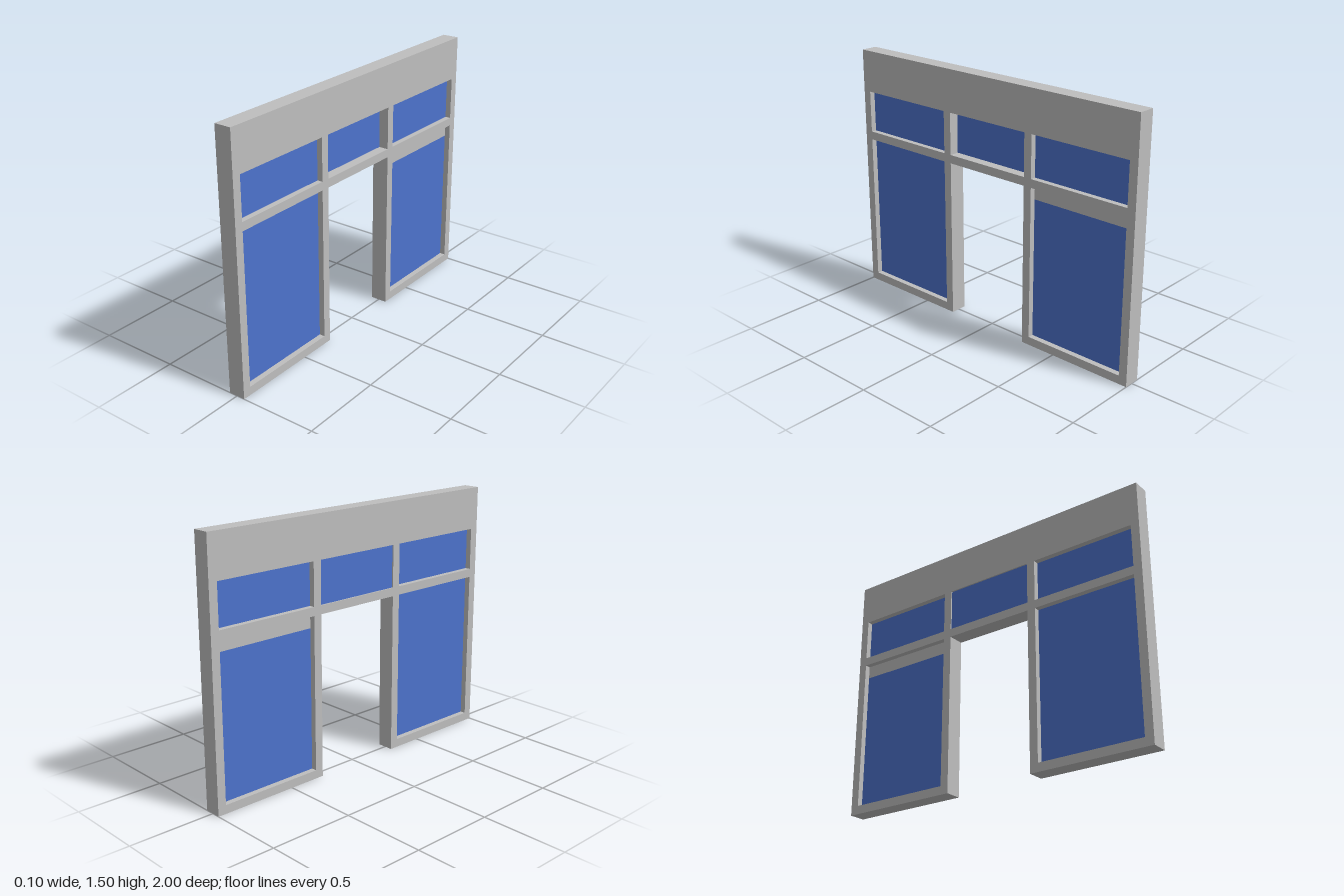
import * as THREE from 'three';

const THICK = 0.1;        // wall depth along x
const PANE = 0.1 / 3;     // glass depth along x

export function createModel() {
  const group = new THREE.Group();
  group.name = 'shopfrontWall';

  const grey = new THREE.MeshStandardMaterial({ color: 0xbebebe });
  grey.name = 'frameGrey';
  const blue = new THREE.MeshStandardMaterial({ color: 0x4d73cc });
  blue.name = 'glassBlue';

  // Window openings as [z min, z max, y min, y max]
  const windows = [
    { name: 'leftLower', rect: [0.325, 0.95, 0.05, 0.95], x: 0 },
    { name: 'rightLower', rect: [-0.95, -0.325, 0.05, 0.95], x: 0, blind: 0.075 },
    { name: 'leftUpper', rect: [0.325, 0.95, 1, 1.25], x: 0 },
    { name: 'middleUpper', rect: [-0.275, 0.275, 1, 1.25], x: -0.025 },
    { name: 'rightUpper', rect: [-0.95, -0.325, 1, 1.25], x: 0 },
  ];

  // Wall outline with the doorway cut from the bottom edge (drawn in -z, y)
  const outline = [
    [-1, 0], [-0.275, 0], [-0.275, 0.95], [0.275, 0.95],
    [0.275, 0], [1, 0], [1, 1.5], [-1, 1.5],
  ];
  const wall = new THREE.Shape(outline.map(([u, y]) => new THREE.Vector2(u, y)));
  for (const { rect: [z0, z1, y0, y1] } of windows) {
    const hole = [[-z1, y0], [-z1, y1], [-z0, y1], [-z0, y0]];
    wall.holes.push(new THREE.Path(hole.map(([u, y]) => new THREE.Vector2(u, y))));
  }
  const wallGeometry = new THREE.ExtrudeGeometry(wall, { depth: THICK, bevelEnabled: false });
  wallGeometry.translate(0, 0, -THICK / 2);
  wallGeometry.rotateY(Math.PI / 2);
  const frame = new THREE.Mesh(wallGeometry, grey);
  frame.name = 'wallFrame';
  group.add(frame);

  // Flat panel filling a rectangle of an opening
  const addPanel = (name, material, x, z0, z1, y0, y1) => {
    const mesh = new THREE.Mesh(new THREE.BoxGeometry(PANE, y1 - y0, z1 - z0), material);
    mesh.position.set(x, (y0 + y1) / 2, (z0 + z1) / 2);
    mesh.name = name;
    group.add(mesh);
  };

  // Glass panes, one with a solid strip across its top
  for (const { name, rect: [z0, z1, y0, y1], x, blind = 0 } of windows) {
    addPanel(name + 'Glass', blue, x, z0, z1, y0, y1 - blind);
    if (blind) addPanel(name + 'TopStrip', grey, x, z0, z1, y1 - blind, y1);
  }

  return group;
}
